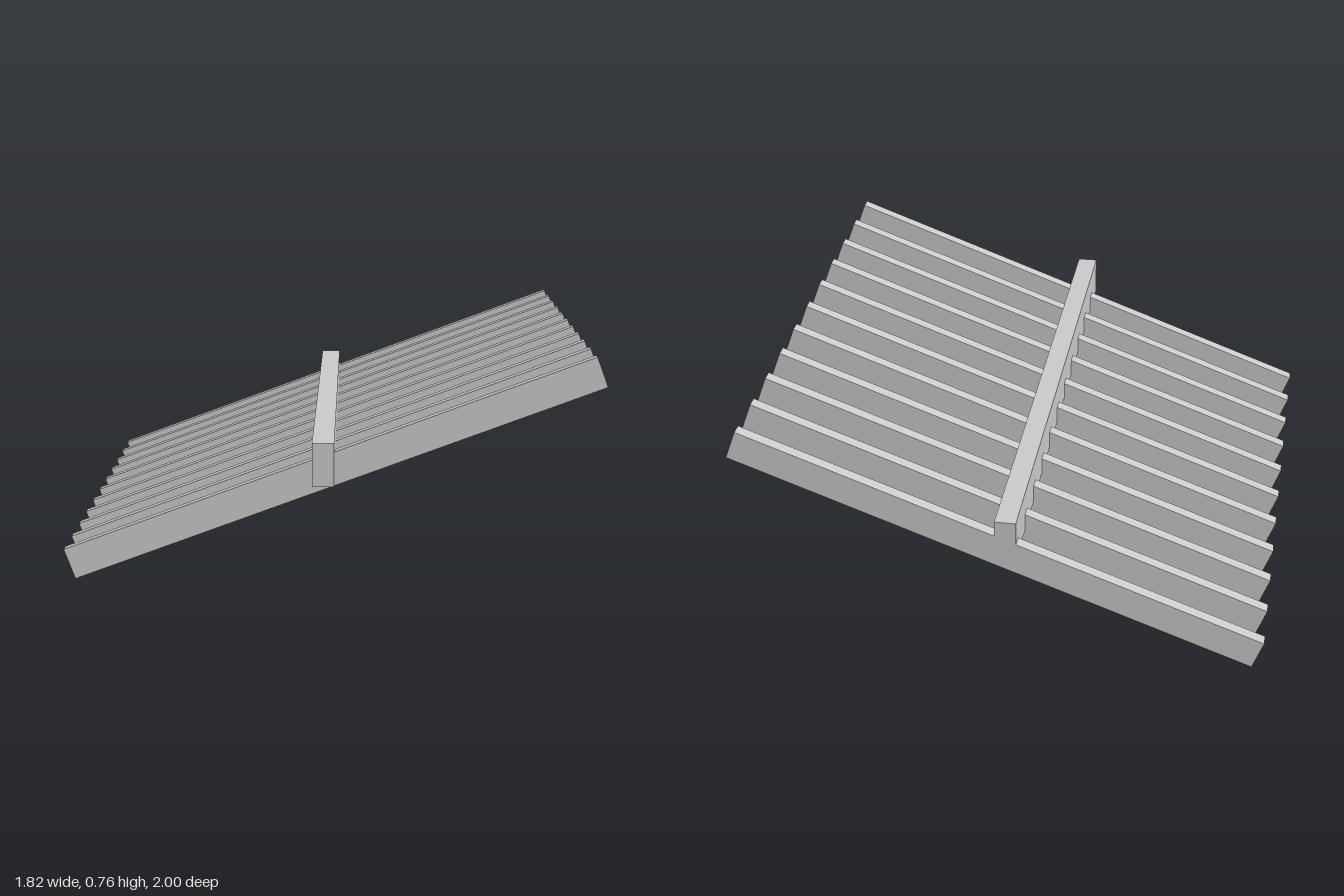
import * as THREE from 'three';

export function createModel() {
  const model = new THREE.Group();
  model.name = 'louver';
  const material = new THREE.MeshStandardMaterial({ color: 0xcccccc, flatShading: true });

  // Long upright bar tying the slats together
  const bar = new THREE.Mesh(new THREE.BoxGeometry(0.073, 0.146, 2), material);
  bar.name = 'crossBar';
  bar.position.set(-0.032, 0.423, 0);
  model.add(bar);

  // Row of parallel slats, all tilted up towards +x
  const slats = new THREE.Group();
  slats.name = 'slats';
  const slatGeometry = new THREE.BoxGeometry(1.898, 0.108, 0.043);
  const count = 11, spacing = 0.182, firstZ = -0.978;
  for (let i = 0; i < count; i++) {
    const slat = new THREE.Mesh(slatGeometry, material);
    slat.name = 'slat' + (i + 1);
    slat.position.set(0, 0.38, firstZ + i * spacing);
    slat.rotation.z = THREE.MathUtils.degToRad(20.3);
    slats.add(slat);
  }
  model.add(slats);

  return model;
}
